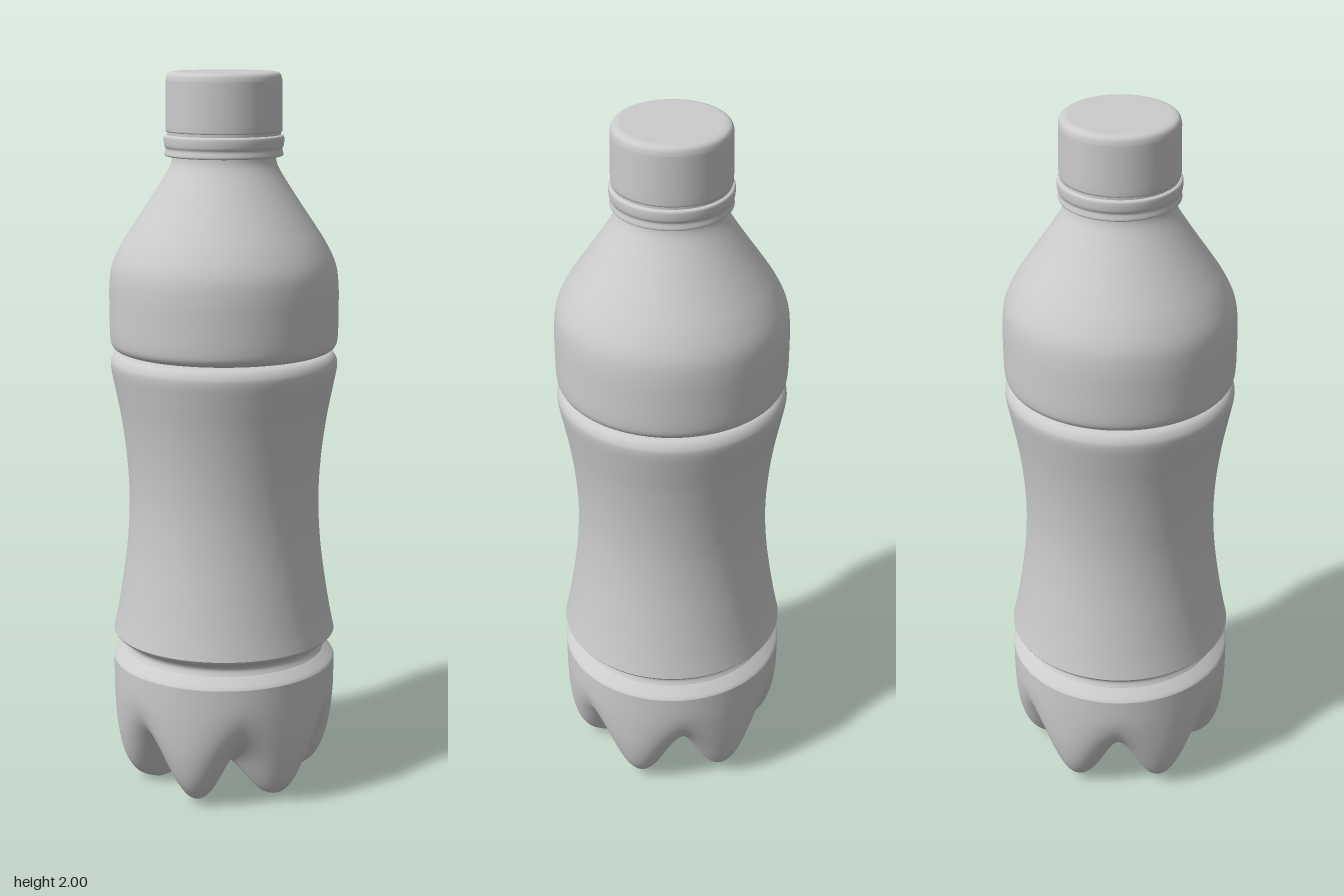
import * as THREE from 'three';
import { mergeVertices } from 'three/addons/utils/BufferGeometryUtils.js';

const SEGMENTS = 96;
const FEET = 6;
const material = new THREE.MeshStandardMaterial({ color: 0xcccccc, side: THREE.DoubleSide });

const toPoints = (pairs) => pairs.map(([r, y]) => new THREE.Vector2(r, y));
const smooth = (pairs, steps) => new THREE.SplineCurve(toPoints(pairs)).getPoints(steps)
  .map((p) => new THREE.Vector2(Math.max(p.x, 0), p.y));

function addPart(group, name, geometry) {
  const mesh = new THREE.Mesh(geometry, material);
  mesh.name = name;
  group.add(mesh);
}

// Base with moulded feet: blends a foot profile and a valley profile around the axis
function footedBase() {
  const foot = smooth([[0, 0.06], [0.06, 0.055], [0.12, 0.025], [0.165, 0.005], [0.2, 0.0], [0.25, 0.02],
    [0.285, 0.07], [0.305, 0.15], [0.313, 0.25], [0.314, 0.365]], 54);
  const valley = smooth([[0, 0.06], [0.05, 0.062], [0.1, 0.075], [0.145, 0.1], [0.185, 0.125], [0.225, 0.15],
    [0.262, 0.18], [0.295, 0.225], [0.312, 0.285], [0.314, 0.365]], 54);
  const geometry = new THREE.LatheGeometry(foot, 144);
  const pos = geometry.attributes.position;
  for (let i = 0; i < pos.count; i++) {
    const j = i % foot.length;
    const angle = (Math.floor(i / foot.length) / 144) * Math.PI * 2;
    const weight = Math.pow(Math.max(0, 0.5 + 0.5 * Math.cos(FEET * angle)), 0.8);
    const p = valley[j].clone().lerp(foot[j], weight);
    pos.setXYZ(i, p.x * Math.sin(angle), p.y, p.x * Math.cos(angle));
  }
  // Weld the seam so the shading is continuous
  geometry.deleteAttribute('uv');
  geometry.deleteAttribute('normal');
  const welded = mergeVertices(geometry, 1e-5);
  welded.computeVertexNormals();
  return welded;
}

export function createModel() {
  const group = new THREE.Group();
  group.name = 'bottle';
  const lathe = (name, points) => addPart(group, name, new THREE.LatheGeometry(points, SEGMENTS));

  addPart(group, 'footedBase', footedBase());

  // Groove between base and grip
  lathe('lowerGrooveLedge', toPoints([[0.314, 0.365], [0.309, 0.374], [0.282, 0.395]]));
  lathe('lowerGroove', smooth([[0.282, 0.395], [0.276, 0.41], [0.284, 0.425], [0.306, 0.438], [0.313, 0.447]], 14));

  // Waisted grip with a rolled upper edge
  lathe('grip', smooth([[0.313, 0.447], [0.3, 0.51], [0.285, 0.6], [0.271, 0.71], [0.265, 0.83], [0.271, 0.95],
    [0.285, 1.06], [0.302, 1.15], [0.312, 1.205], [0.309, 1.228], [0.295, 1.244], [0.27, 1.249]], 60));

  // Shoulder running up into the neck
  lathe('shoulder', smooth([[0.27, 1.249], [0.292, 1.253], [0.307, 1.264], [0.313, 1.29], [0.314, 1.36],
    [0.313, 1.43], [0.305, 1.485], [0.28, 1.54], [0.245, 1.595], [0.208, 1.65], [0.172, 1.705],
    [0.15, 1.742], [0.141, 1.765], [0.139, 1.79]], 70));

  // Tamper ring under the cap
  lathe('tamperRing', smooth([[0.137, 1.777], [0.155, 1.777], [0.16, 1.782], [0.157, 1.796], [0.161, 1.806],
    [0.162, 1.824], [0.159, 1.832], [0.146, 1.835]], 28));
  lathe('capGap', toPoints([[0.153, 1.83], [0.153, 1.846]]));

  // Screw cap
  lathe('capWall', [...toPoints([[0.145, 1.842], [0.156, 1.842], [0.157, 1.846], [0.157, 1.87], [0.156, 1.96]]),
    ...smooth([[0.156, 1.975], [0.153, 1.989], [0.146, 1.997], [0.134, 2.0]], 10)]);
  lathe('capTop', toPoints([[0.134, 2.0], [0, 2.0]]));

  return group;
}
